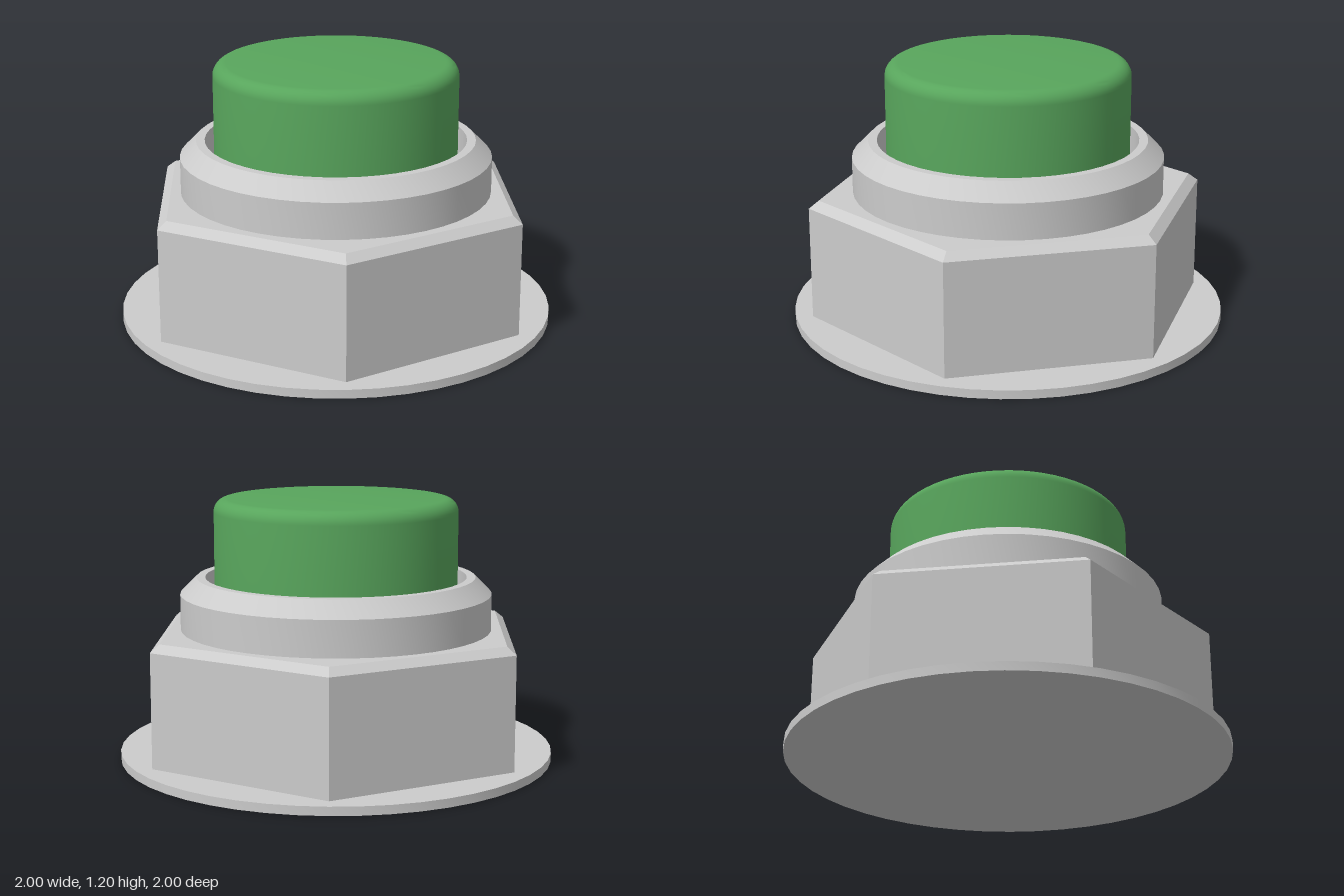
import * as THREE from 'three';
import { toCreasedNormals } from 'three/addons/utils/BufferGeometryUtils.js';

const SEGMENTS = 48;

export function createModel() {
  const group = new THREE.Group();
  const grey = new THREE.MeshStandardMaterial({ color: 0xcccccc });
  const greyFlat = new THREE.MeshStandardMaterial({ color: 0xcccccc, flatShading: true });
  const green = new THREE.MeshStandardMaterial({ color: 0x58a55c });

  const add = (name, geometry, material) => {
    const mesh = new THREE.Mesh(geometry, material);
    mesh.name = name;
    group.add(mesh);
    return mesh;
  };
  // Turned part: profile of [radius, height] pairs, with edges over 30 degrees kept sharp
  const turned = (name, profile, material, start = 0, sides = SEGMENTS) => {
    const points = profile.map(([r, y]) => new THREE.Vector2(r, y));
    const lathe = new THREE.LatheGeometry(points, sides, start);
    return add(name, toCreasedNormals(lathe, Math.PI / 6), material);
  };

  // Thin round base flange
  turned('baseFlange', [[0, 0], [1, 0], [1, 0.04], [0, 0.04]], grey);

  // Hexagonal nut: corners on the x axis, chamfered top edge
  const corner = 0.8 / Math.cos(Math.PI / 6);
  const chamferCorner = 0.76 / Math.cos(Math.PI / 6);
  turned('hexNut',
    [[corner, 0.04], [corner, 0.565], [chamferCorner, 0.6], [0, 0.6]],
    greyFlat, Math.PI / 6, 6);

  // Round collar with a bevelled rim and a recess for the button
  turned('collar',
    [[0.715, 0.6], [0.715, 0.765], [0.64, 0.84], [0.6, 0.84], [0.6, 0.61], [0, 0.61]],
    grey);

  // Push button with a rounded top edge
  const radius = 0.558, top = 1.2, fillet = 0.06;
  const profile = [[radius, 0.61]];
  for (let i = 0; i <= 8; i++) {
    const a = (i / 8) * Math.PI / 2;
    profile.push([
      radius - fillet + fillet * Math.cos(a),
      top - fillet + fillet * Math.sin(a),
    ]);
  }
  profile.push([0, top]);
  turned('pushButton', profile, green, 0, 64);

  return group;
}
